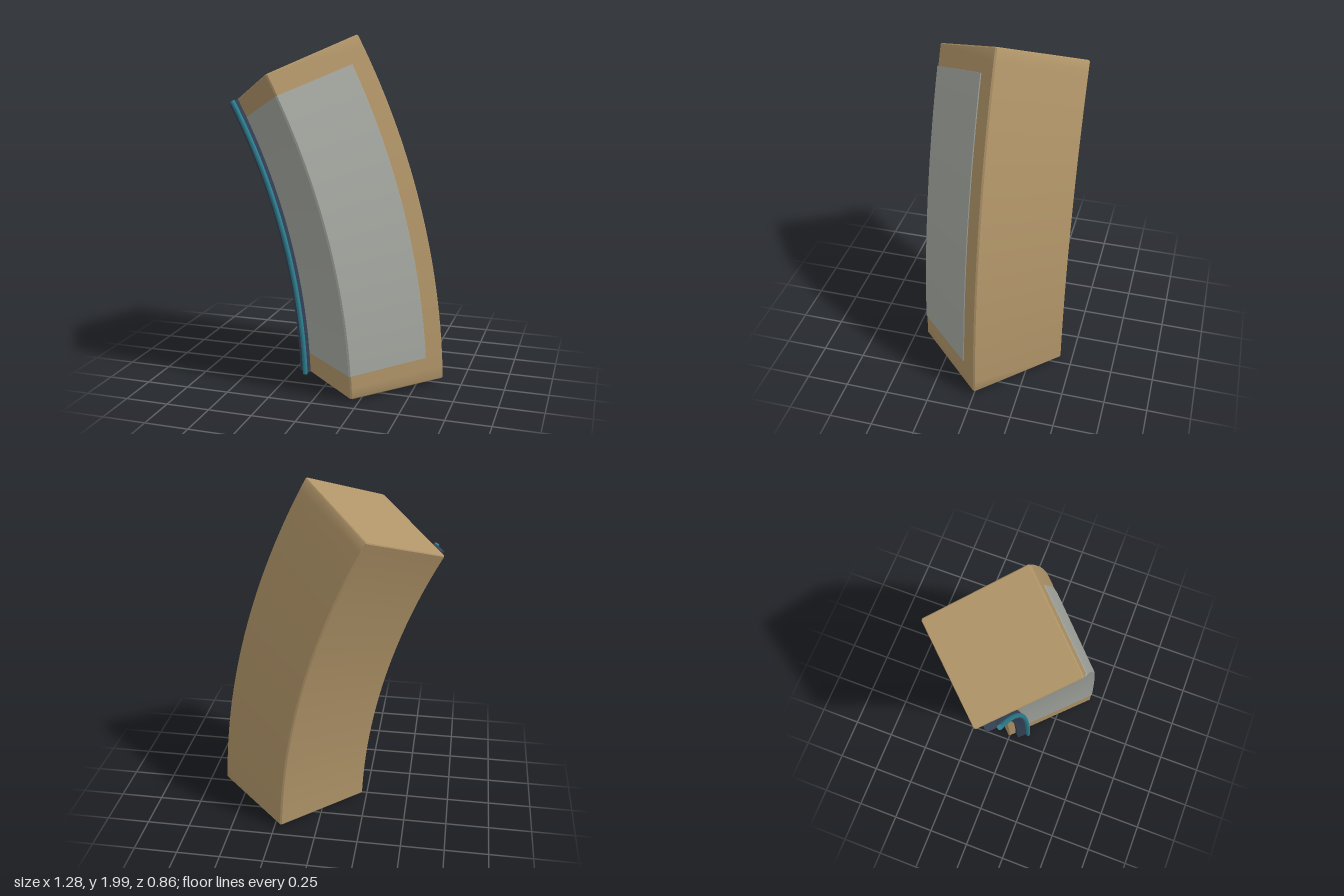
import * as THREE from 'three';
import { toCreasedNormals } from 'three/addons/utils/BufferGeometryUtils.js';

// All parts are sections swept about one centre of curvature in the xy plane
const CX = -3.877, CY = -0.126, MID = 4.09, ZC = -0.004;
const START = THREE.MathUtils.degToRad(2), END = THREE.MathUtils.degToRad(28);
const STEPS = 28;

// Sweep a counter-clockwise [radius, z] section; bevel insets the two end rings
function sweep(section, from, to, bevel = 0) {
  const rings = [];
  for (let i = 0; i <= STEPS; i++) rings.push([from + (to - from) * i / STEPS, 1]);
  if (bevel) {
    const inset = 1 - bevel / 0.43, lean = bevel / MID;
    rings[0][0] += lean;
    rings[STEPS][0] -= lean;
    rings.unshift([from, inset]);
    rings.push([to, inset]);
  }
  const n = section.length, pos = [], idx = [];
  for (const [a, s] of rings) {
    for (const [r, z] of section) {
      const rr = MID + (r - MID) * s;
      pos.push(CX + rr * Math.cos(a), CY + rr * Math.sin(a), ZC + (z - ZC) * s);
    }
  }
  const last = (rings.length - 1) * n;
  for (let i = 0; i < last; i += n) {
    for (let j = 0; j < n; j++) {
      const k = (j + 1) % n;
      idx.push(i + j, i + n + j, i + n + k, i + j, i + n + k, i + k);
    }
  }
  // End caps fan out from the first point
  for (let j = 1; j < n - 1; j++) idx.push(0, j, j + 1, last, last + j + 1, last + j);
  const geo = new THREE.BufferGeometry();
  geo.setAttribute('position', new THREE.Float32BufferAttribute(pos, 3));
  geo.setIndex(idx);
  return toCreasedNormals(geo, 0.6);
}

function material(name, color) {
  const m = new THREE.MeshStandardMaterial({ color });
  m.name = name;
  return m;
}

export function createModel() {
  const group = new THREE.Group();
  group.name = 'curvedBeam';
  const tan = material('tan', 0xb09468);
  const grey = material('grey', 0xa4a7a0);
  const navy = material('navy', 0x344256);
  const teal = material('teal', 0x2e7f90);

  const add = (name, geo, mat) => {
    const mesh = new THREE.Mesh(geo, mat);
    mesh.name = name;
    group.add(mesh);
  };

  // Diamond-section beam with narrow chamfers on every corner
  const h = 0.43, d = 0.426, c = 0.006;
  const diamond = [
    [h, -c], [h, c], [c, d], [-c, d], [-h, c], [-h, -c], [-c, -d], [c, -d],
  ].map(([r, z]) => [MID + r, ZC + z]);
  add('beam', sweep(diamond, START, END, 0.006), tan);

  // Thin panel folded over the front edge
  const panel = [
    [0, 0.405], [0.353, 0.06], [0.353, 0.084], [c, 0.428],
    [-c, 0.428], [-0.353, 0.084], [-0.353, 0.06],
  ].map(([r, z]) => [MID + r, z]);
  add('frontPanel', sweep(panel, THREE.MathUtils.degToRad(3.9), THREE.MathUtils.degToRad(26.2)), grey);

  // Dark rail lying against the inner front face
  const rail = [[3.69, 0.032], [3.735, 0.078], [3.71, 0.103], [3.664, 0.058]];
  add('rail', sweep(rail, START, END), navy);

  // Round strip along the rail
  const tube = [];
  for (let i = 0; i < 12; i++) {
    const a = i * Math.PI / 6;
    tube.push([3.713 + 0.014 * Math.cos(a), 0.113 + 0.014 * Math.sin(a)]);
  }
  add('railStrip', sweep(tube, START, END), teal);

  return group;
}
